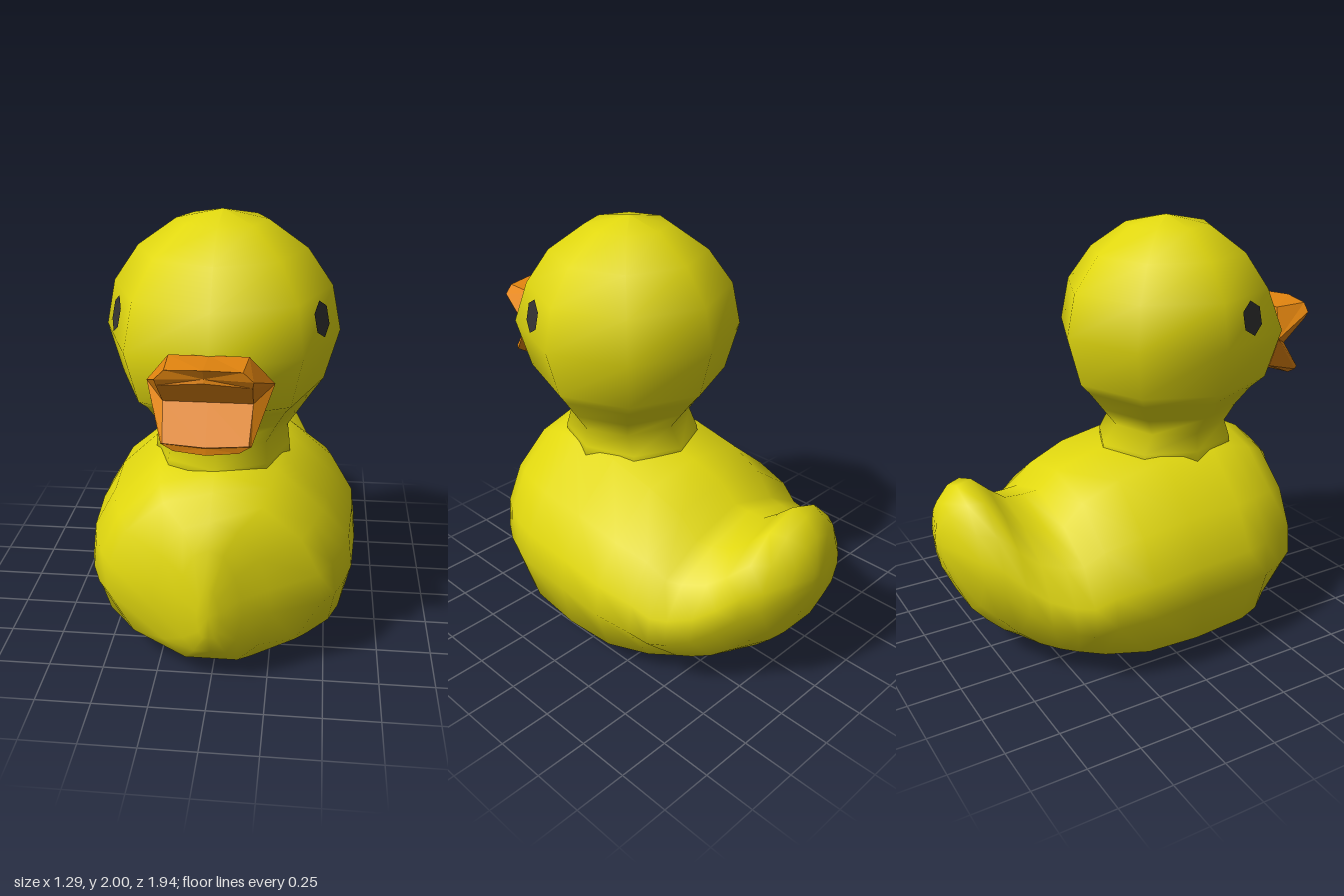
import * as THREE from 'three';

const yellow = new THREE.MeshStandardMaterial({ color: 0xe0d70f });
yellow.name = 'yellow';
const orange = new THREE.MeshStandardMaterial({ color: 0xe3850f });
orange.name = 'orange';
const black = new THREE.MeshStandardMaterial({ color: 0x333333 });
black.name = 'black';

// Skin a list of equal-length closed rings of [x, y, z] and cap both ends.
function loft(rings, flat = false) {
  const n = rings[0].length;
  const points = rings.flat();
  const index = [];
  for (let r = 0; r < rings.length - 1; r++) {
    for (let i = 0; i < n; i++) {
      const a = r * n + i, b = r * n + (i + 1) % n;
      index.push(a, b, b + n, a, b + n, a + n);
    }
  }
  [0, rings.length - 1].forEach((r) => {
    const centre = [0, 1, 2].map((k) => rings[r].reduce((s, p) => s + p[k], 0) / n);
    const c = points.push(centre) - 1;
    for (let i = 0; i < n; i++) {
      const a = r * n + i, b = r * n + (i + 1) % n;
      if (r === 0) index.push(c, b, a);
      else index.push(c, a, b);
    }
  });
  // Turn the faces outward if the enclosed volume is negative
  let volume = 0;
  const v = points.map((p) => new THREE.Vector3(...p));
  for (let i = 0; i < index.length; i += 3) {
    volume += v[index[i]].dot(v[index[i + 1]].clone().cross(v[index[i + 2]]));
  }
  if (volume < 0) index.reverse();
  let geometry = new THREE.BufferGeometry().setFromPoints(v);
  geometry.setIndex(index);
  if (flat) geometry = geometry.toNonIndexed();
  geometry.computeVertexNormals();
  return geometry;
}

// Complete a half ring (first and last points on x = 0) by mirroring it
function mirrorRing(half) {
  const other = half.slice(1, -1).reverse().map(([x, y, z]) => [-x, y, z]);
  return [...half, ...other];
}

function addMesh(group, name, geometry, material) {
  const mesh = new THREE.Mesh(geometry, material);
  mesh.name = name;
  group.add(mesh);
  return mesh;
}

// Body and upturned tail: sections along z as [z, bottom, top, half width, base ratio].
// A small base ratio rounds the section off below and at the shoulders.
function bodyGeometry() {
  const sections = [
    [0.87, 0.28, 0.52, 0.05, 0.5], [0.83, 0.18, 0.69, 0.14, 0.5],
    [0.77, 0.1, 0.79, 0.26, 0.45], [0.67, 0.05, 0.88, 0.48, 0.35],
    [0.57, 0, 0.93, 0.54, 0.36], [0.45, 0, 0.94, 0.59, 0.58], [0.33, 0, 0.94, 0.62, 0.65],
    [0.05, 0, 0.94, 0.64, 0.68], [-0.2, 0, 0.9, 0.645, 0.6], [-0.38, 0, 0.85, 0.61, 0.4],
    [-0.47, 0, 0.77, 0.58, 0.15], [-0.55, 0.035, 0.765, 0.55, 0.15],
    [-0.64, 0.08, 0.77, 0.48, 0.2], [-0.72, 0.14, 0.83, 0.42, 0.25],
    [-0.8, 0.22, 0.9, 0.35, 0.3], [-0.87, 0.3, 0.88, 0.28, 0.35],
    [-0.94, 0.45, 0.81, 0.18, 0.45], [-0.97, 0.55, 0.69, 0.05, 0.5],
  ];
  return loft(sections.map(([z, bottom, top, w, base]) => {
    const mid = bottom + 0.37 * (top - bottom);
    const outline = [[0, 1], [0.45, 0.8 + 0.23 * base], [0.8, 0.6], [0.97, 0.27], [1, 0],
      [0.6 + 0.48 * base, -0.65], [base, -1], [0, -1]];
    return mirrorRing(outline.map(([u, t]) =>
      [u * w, mid + t * (t > 0 ? top - mid : mid - bottom), z]));
  }));
}

// Head and neck: eight-sided rings as [y, half width, front z, back z]
function headGeometry() {
  const rings = [
    [0.8, 0.32, 0.56, -0.12], [0.93, 0.31, 0.57, -0.12], [1.02, 0.3, 0.53, -0.05],
    [1.11, 0.36, 0.57, -0.12], [1.2, 0.42, 0.65, -0.19], [1.25, 0.455, 0.74, -0.235],
    [1.48, 0.52, 0.81, -0.3], [1.68, 0.48, 0.71, -0.26], [1.84, 0.37, 0.6, -0.14],
    [1.96, 0.2, 0.43, 0.03], [2, 0.01, 0.23, 0.21],
  ];
  return loft(rings.map(([y, w, front, back]) =>
    Array.from({ length: 8 }, (_, i) => {
      const a = i * Math.PI / 4, c = Math.cos(a);
      return [w * Math.sin(a), y, 0.22 + c * (c > 0 ? front - 0.22 : 0.22 - back)];
    })));
}

export function createModel() {
  const duck = new THREE.Group();
  duck.name = 'rubberDuck';

  addMesh(duck, 'body', bodyGeometry(), yellow);
  addMesh(duck, 'head', headGeometry(), yellow);

  // Open beak: each half runs from the head to its tip
  const upperBeak = [
    [[0, 1.53, 0.77], [0.16, 1.53, 0.77], [0.26, 1.4, 0.71], [0.18, 1.35, 0.81], [0, 1.35, 0.81]],
    [[0, 1.54, 0.97], [0.15, 1.53, 0.95], [0.19, 1.49, 0.945], [0.185, 1.46, 0.93], [0, 1.48, 0.95]],
  ];
  const lowerBeak = [
    [[0, 1.35, 0.81], [0.18, 1.35, 0.81], [0.26, 1.4, 0.71], [0.2, 1.25, 0.71], [0, 1.22, 0.7]],
    [[0, 1.2, 0.915], [0.17, 1.21, 0.91], [0.18, 1.2, 0.89], [0.13, 1.17, 0.89], [0, 1.16, 0.9]],
  ];
  addMesh(duck, 'upperBeak', loft(upperBeak.map(mirrorRing), true), orange);
  addMesh(duck, 'lowerBeak', loft(lowerBeak.map(mirrorRing), true), orange);

  // Six-sided eyes lying on the sides of the head
  for (const side of [1, -1]) {
    const normal = new THREE.Vector3(0.91 * side, 0.2, 0.35).normalize();
    const eye = addMesh(duck, side > 0 ? 'leftEye' : 'rightEye',
      new THREE.CircleGeometry(0.08, 6, Math.PI / 2), black);
    eye.position.set(0.428 * side, 1.58, 0.405).addScaledVector(normal, 0.01);
    eye.lookAt(eye.position.clone().add(normal));
  }
  return duck;
}
